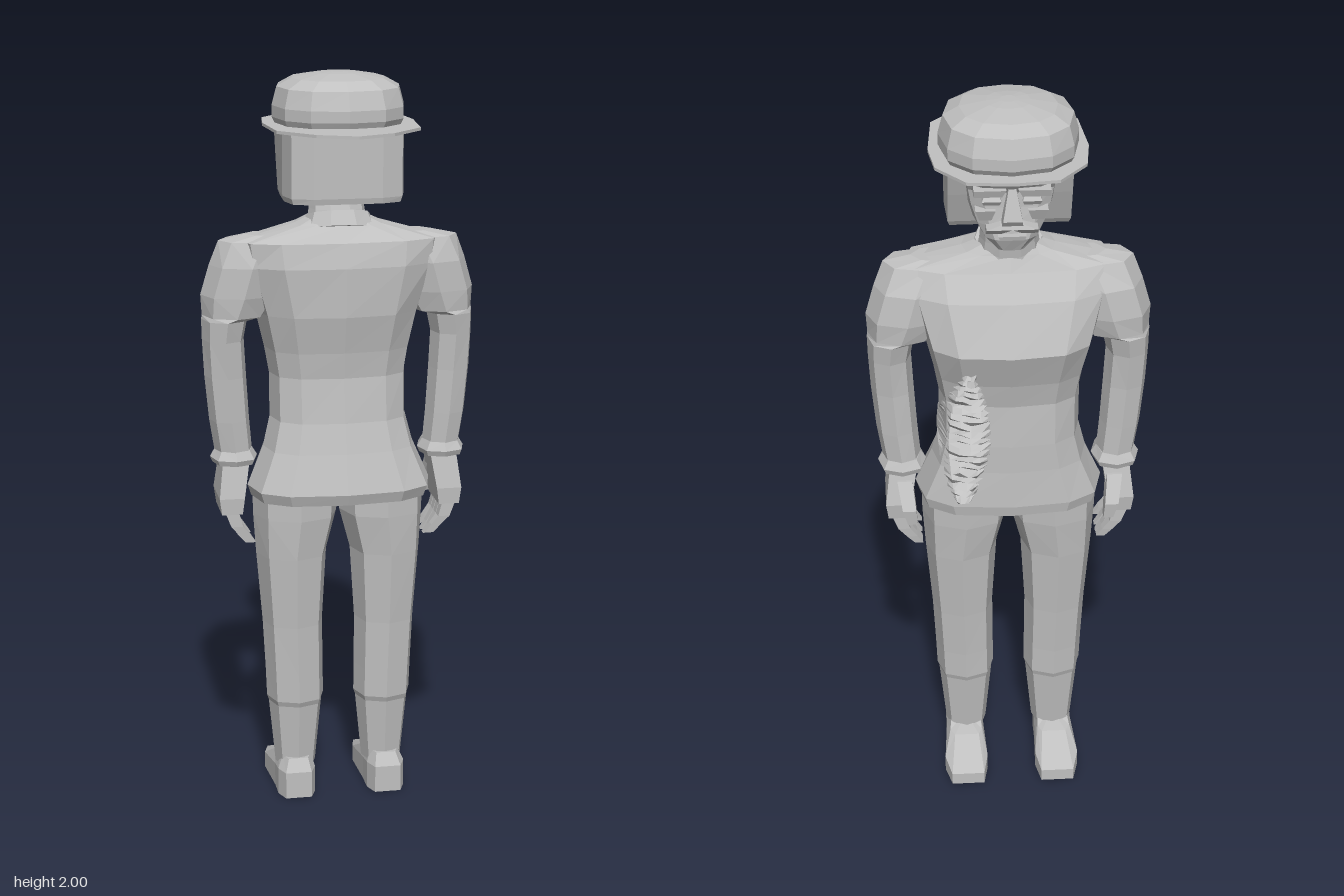
import * as THREE from 'three';

const grey = new THREE.MeshStandardMaterial({ color: 0xc0c0c0, flatShading: true });
grey.name = 'plain grey';

// Skins a stack of equal-length rings from bottom to top, with capped ends; side -1 mirrors in x
function loft(name, rings, side = 1) {
  const pos = [];
  const tri = (a, b, c) => {
    for (const p of side > 0 ? [a, b, c] : [a, c, b]) pos.push(p[0] * side, p[1], p[2]);
  };
  const n = rings[0].length;
  const centre = (r) => [0, 1, 2].map((k) => r.reduce((s, p) => s + p[k], 0) / n);
  for (let i = 0; i < rings.length - 1; i++) {
    for (let j = 0; j < n; j++) {
      const k = (j + 1) % n, lo = rings[i], hi = rings[i + 1];
      tri(lo[j], hi[j], lo[k]);
      tri(lo[k], hi[j], hi[k]);
    }
  }
  const bottom = rings[0], top = rings[rings.length - 1];
  const cb = centre(bottom), ct = centre(top);
  for (let j = 0; j < n; j++) {
    const k = (j + 1) % n;
    tri(cb, bottom[j], bottom[k]);
    tri(ct, top[k], top[j]);
  }
  const g = new THREE.BufferGeometry();
  g.setAttribute('position', new THREE.Float32BufferAttribute(pos, 3));
  g.computeVertexNormals();
  const m = new THREE.Mesh(g, grey);
  m.name = name;
  return m;
}

// Rounded ring: height, centre x, half width, back z, face z
function ring([y, cx, w, zb, zf], n = 8, p = 0.8, tilt = 0, turn = 0) {
  const cz = (zb + zf) / 2, h = (zb - zf) / 2;
  const pw = (v) => Math.sign(v) * Math.pow(Math.abs(v) < 1e-9 ? 0 : Math.abs(v), p);
  return Array.from({ length: n }, (_, i) => {
    const a = ((i + turn) / n) * Math.PI * 2;
    const dz = h * pw(Math.sin(a));
    return [cx + w * pw(Math.cos(a)), y + tilt * dz, cz + dz];
  });
}
const stack = (name, rows, side = 1, n = 8, p = 0.8, tilt = 0, turn = 0) =>
  loft(name, rows.map((r) => ring(r, n, p, tilt, turn)), side);
// Four-sided stack with straight sides
const block = (name, rows, side = 1) => stack(name, rows, side, 4, 0.001, 0, 0.5);

const TORSO = [
  [0.865, 0, 0.24, 0.105, -0.19], [0.895, 0, 0.25, 0.115, -0.195], [1.0, 0, 0.205, 0.085, -0.19],
  [1.08, 0, 0.185, 0.065, -0.19], [1.2, 0, 0.185, 0.05, -0.185], [1.27, 0, 0.197, 0.058, -0.2],
  [1.37, 0, 0.22, 0.078, -0.235], [1.5, 0, 0.26, 0.08, -0.185], [1.565, 0, 0.27, 0.065, -0.14],
  [1.605, 0, 0.12, 0.03, -0.12], [1.625, 0, 0.075, 0.01, -0.11],
];

// Depth of the chest surface at a given x and height
function chestZ(x, y) {
  let i = 0;
  while (i < TORSO.length - 2 && TORSO[i + 1][0] < y) i++;
  const t = (y - TORSO[i][0]) / (TORSO[i + 1][0] - TORSO[i][0]);
  const [, , w, zb, zf] = TORSO[i].map((v, k) => v + (TORSO[i + 1][k] - v) * t);
  const c = Math.min(1, Math.abs(x) / w) ** (1 / 0.7);
  return (zb + zf) / 2 - ((zb - zf) / 2) * Math.sqrt(1 - c * c) ** 0.7;
}

// Crumpled cloth patch on one side of the belly
function patch() {
  let seed = 7;
  const rnd = () => (seed = (seed * 16807) % 2147483647) / 2147483647;
  const g = new THREE.PlaneGeometry(2, 1, 5, 40).rotateY(Math.PI);
  const p = g.attributes.position;
  for (let i = 0; i < p.count; i++) {
    const row = Math.floor(i / 6), v = p.getY(i) + 0.5, u = p.getX(i);
    const half = 0.02 + 0.05 * Math.sin(Math.PI * Math.min(1, v * 1.05)) ** 0.8;
    const x = 0.12 + 0.02 * (0.5 - v) + u * half;
    const y = 0.91 + 0.4 * v + 0.012 * (rnd() - 0.5);
    const edge = Math.abs(u) > 0.99;
    p.setXYZ(i, x, y, chestZ(x, y) + (edge ? 0.012 : row % 2 ? -0.014 : 0.002) - 0.006 * rnd());
  }
  const flat = g.toNonIndexed();
  flat.computeVertexNormals();
  const m = new THREE.Mesh(flat, grey);
  m.name = 'crumpledPatch';
  return m;
}

function addHead(body) {
  // Neck leaning forward, with a sloped collar
  body.add(stack('neck', [[1.57, 0, 0.085, 0.01, -0.12], [1.64, 0, 0.075, -0.01, -0.13], [1.72, 0, 0.07, -0.04, -0.145]], 1, 10, 0.9));
  body.add(stack('collar', [[1.585, 0, 0.1, 0.045, -0.125], [1.625, 0, 0.085, 0.025, -0.125]], 1, 10, 0.9, 0.3));
  // Face with jaw, brow, nose and moustache
  body.add(stack('face', [
    [1.645, 0, 0.035, -0.115, -0.172], [1.675, 0, 0.07, -0.04, -0.188], [1.71, 0, 0.092, 0, -0.185],
    [1.76, 0, 0.11, 0, -0.18], [1.8, 0, 0.118, 0, -0.18], [1.825, 0, 0.12, 0, -0.2], [1.868, 0, 0.12, 0, -0.195],
  ], 1, 12, 0.75, -0.12));
  body.add(block('nose', [[1.735, 0, 0.026, -0.16, -0.21], [1.75, 0, 0.024, -0.16, -0.22], [1.825, 0, 0.01, -0.16, -0.198]]));
  body.add(block('lowerLip', [[1.69, 0, 0.03, -0.16, -0.2], [1.702, 0, 0.035, -0.16, -0.203]]));
  for (const s of [1, -1]) {
    body.add(block('moustache', [[1.705, 0.045, 0.02, -0.14, -0.19], [1.722, 0.032, 0.032, -0.14, -0.207], [1.734, 0.015, 0.015, -0.14, -0.203]], s));
    body.add(block('brow', [[1.808, 0.06, 0.035, -0.14, -0.198], [1.828, 0.055, 0.04, -0.14, -0.205]], s));
    body.add(block('eye', [[1.778, 0.05, 0.02, -0.15, -0.18], [1.79, 0.05, 0.024, -0.15, -0.188], [1.8, 0.05, 0.02, -0.15, -0.182]], s));
    body.add(block('cheek', [[1.735, 0.065, 0.015, -0.12, -0.175], [1.765, 0.065, 0.025, -0.12, -0.187]], s));
  }
  // Square bob of hair, its face edge sloping forward towards the cap
  const hair = (y, zf, k) => [
    [0.16 * k, y, 0.03], [0.145 * k, y, 0.09 * k], [0.09, y, 0.11 * k], [-0.09, y, 0.11 * k],
    [-0.145 * k, y, 0.09 * k], [-0.16 * k, y, 0.03], [-0.155 * k, y, zf], [-0.1, y, zf], [0.1, y, zf], [0.155 * k, y, zf],
  ];
  body.add(loft('hair', [hair(1.675, -0.075, 0.97), hair(1.69, -0.085, 1), hair(1.78, -0.12, 1), hair(1.866, -0.15, 1)]));
  // Cap crown and thin pointed brim
  body.add(stack('capCrown', [
    [1.866, 0, 0.166, 0.118, -0.21], [1.885, 0, 0.175, 0.127, -0.222], [1.915, 0, 0.175, 0.127, -0.222],
    [1.963, 0, 0.162, 0.11, -0.205], [1.985, 0, 0.122, 0.075, -0.168], [1.997, 0, 0.055, 0.008, -0.1], [2.0, 0, 0.02, -0.025, -0.065],
  ], 1, 12, 0.85));
  const brim = (y) => [
    [0.2, -0.045], [0.187, 0.115], [0.1, 0.21], [0, 0.255], [-0.1, 0.21], [-0.187, 0.115],
    [-0.2, -0.045], [-0.187, -0.15], [-0.114, -0.239], [0, -0.252], [0.114, -0.239], [0.187, -0.15],
  ].map(([x, z]) => [x, y, z]);
  body.add(loft('capBrim', [brim(1.862), brim(1.87)]));
}

function addArm(body, s) {
  // Sleeve rising into the pointed shoulder
  body.add(stack('sleeve', [
    [0.97, 0.283, 0.05, 0.005, -0.118], [1.08, 0.296, 0.054, 0.01, -0.118], [1.2, 0.305, 0.056, 0.012, -0.118],
    [1.3, 0.31, 0.056, 0.018, -0.125], [1.355, 0.305, 0.062, 0.025, -0.135], [1.365, 0.28, 0.085, 0.028, -0.138],
    [1.42, 0.262, 0.106, 0.035, -0.145], [1.5, 0.24, 0.105, 0.038, -0.14], [1.565, 0.21, 0.11, 0.02, -0.11],
    [1.58, 0.15, 0.1, 0.0, -0.09],
  ], s, 8, 0.9));
  body.add(stack('cuff', [[0.96, 0.285, 0.058, 0.012, -0.125], [0.975, 0.285, 0.064, 0.018, -0.13], [0.998, 0.285, 0.05, 0.006, -0.118]], s));
  // Hand with four bent fingers and a thumb
  body.add(block('palm', [[0.825, 0.298, 0.028, 0.008, -0.122], [0.87, 0.298, 0.034, 0.01, -0.128], [0.975, 0.283, 0.036, -0.01, -0.105]], s));
  for (let i = 0; i < 4; i++) {
    const z = 0.006 - i * 0.033, drop = [0.012, 0, 0, 0.008][i];
    block('finger', [
      [0.732 + drop, 0.246, 0.011, z - 0.004, z - 0.024], [0.755 + drop, 0.264, 0.014, z - 0.002, z - 0.027],
      [0.79, 0.285, 0.016, z, z - 0.029], [0.83, 0.298, 0.018, z, z - 0.029],
    ], s).parent ?? body.add(block('finger', [
      [0.732 + drop, 0.246, 0.011, z - 0.004, z - 0.024], [0.755 + drop, 0.264, 0.014, z - 0.002, z - 0.027],
      [0.79, 0.285, 0.016, z, z - 0.029], [0.83, 0.298, 0.018, z, z - 0.029],
    ], s));
  }
  body.add(block('thumb', [[0.825, 0.262, 0.013, -0.13, -0.155], [0.87, 0.27, 0.018, -0.115, -0.16], [0.94, 0.28, 0.02, -0.07, -0.12]], s));
}

function addLeg(body, s) {
  // Trouser leg with a small fold above the shin
  body.add(stack('trouserLeg', [
    [0.08, 0.122, 0.056, 0.01, -0.108], [0.265, 0.122, 0.074, 0.03, -0.125], [0.28, 0.122, 0.079, 0.036, -0.13],
    [0.36, 0.124, 0.08, 0.038, -0.132], [0.5, 0.128, 0.083, 0.042, -0.14], [0.7, 0.13, 0.097, 0.055, -0.157],
    [0.81, 0.119, 0.115, 0.062, -0.168], [0.88, 0.118, 0.117, 0.062, -0.17],
  ], s, 8, 0.85));
  // Shoe from sole, upper edge and ankle opening: x, z, edge height
  const outline = [
    [0.062, -0.19, 0.045], [0.052, -0.06, 0.065], [0.052, 0.0, 0.075], [0.036, 0.04, 0.075], [-0.036, 0.04, 0.075],
    [-0.052, 0.0, 0.075], [-0.052, -0.06, 0.065], [-0.058, -0.19, 0.045], [-0.045, -0.255, 0.035], [0.045, -0.255, 0.035],
  ];
  body.add(loft('shoe', [
    outline.map(([x, z]) => [0.126 + x, 0, z]),
    outline.map(([x, z, h]) => [0.126 + x, h, z]),
    outline.map(([x, z]) => [0.124 + x * 0.75, z < -0.1 ? 0.085 : 0.11, z < -0.1 ? -0.12 + (z + 0.19) * 0.35 : z * 0.8 - 0.012]),
  ], s));
}

export function createModel() {
  const body = new THREE.Group();
  body.name = 'figure';
  body.add(stack('jacket', TORSO, 1, 12, 0.7));
  body.add(patch());
  addHead(body);
  for (const s of [1, -1]) {
    addArm(body, s);
    addLeg(body, s);
  }
  return body;
}
